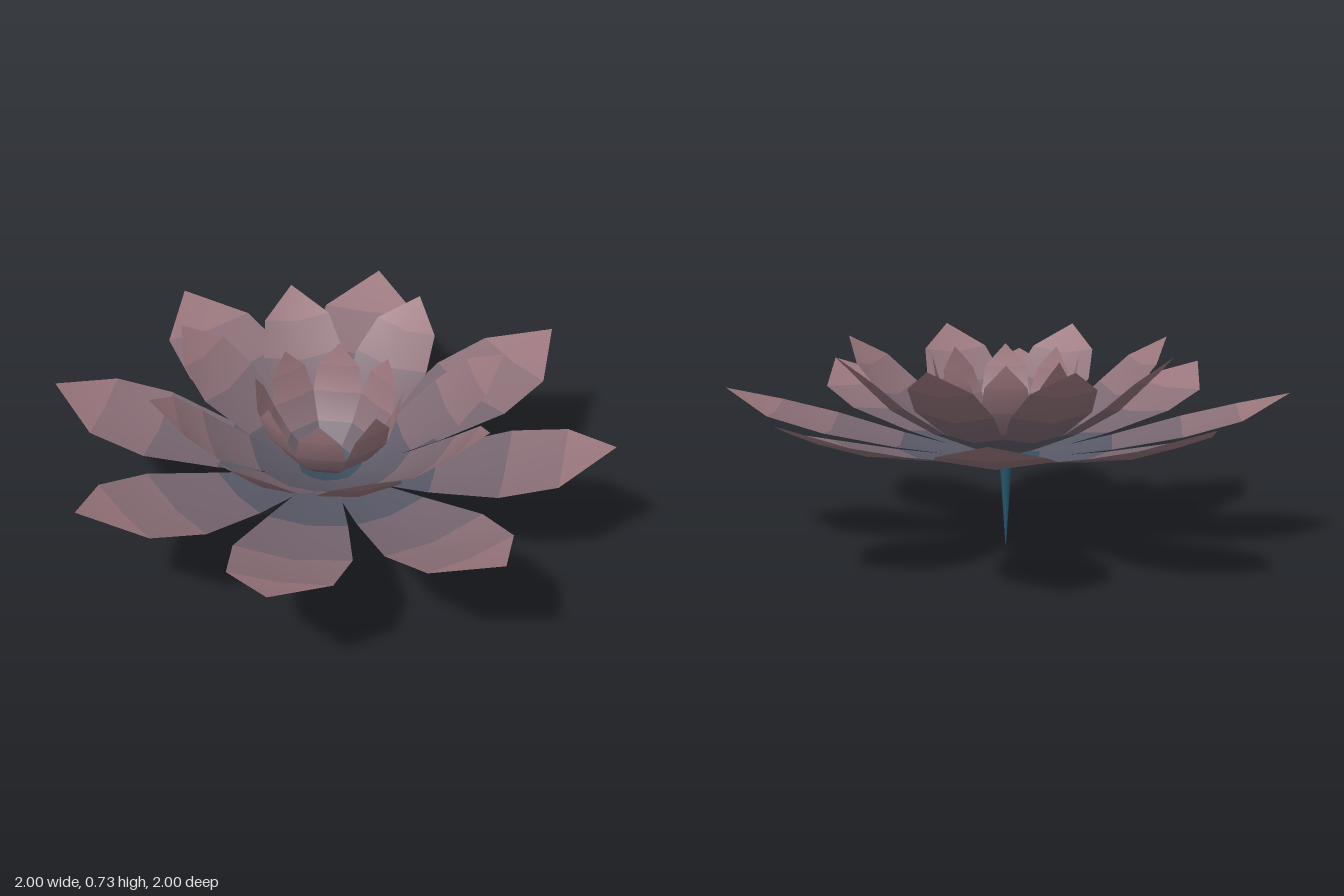
import * as THREE from 'three';

const BASE = new THREE.Color(0x1f4a5c);
const TIP = new THREE.Color(0xa07a80);

// Each ring: turn in degrees, tip [reach, height], and rows from the base outward:
// [reach, height of the midrib, half width, how far the edges curl up]
const RINGS = [
  { name: 'outerPetal', turn: 7.7, tip: [1.008, 0.57], rows: [
    [0.02, 0.335, 0.012, 0], [0.12, 0.333, 0.06, 0.004], [0.38, 0.366, 0.14, 0.02],
    [0.63, 0.416, 0.203, 0.03], [0.83, 0.485, 0.176, 0.014]] },
  { name: 'middlePetal', turn: 28.5, tip: [0.632, 0.73], rows: [
    [0.02, 0.337, 0.01, 0], [0.11, 0.362, 0.05, 0.006], [0.27, 0.428, 0.11, 0.02],
    [0.43, 0.525, 0.148, 0.03], [0.535, 0.63, 0.121, 0.02]] },
  { name: 'innerPetal', turn: 4.4, tip: [0.262, 0.7], rows: [
    [0.02, 0.34, 0.009, 0], [0.08, 0.375, 0.035, -0.002], [0.15, 0.435, 0.065, 0],
    [0.212, 0.522, 0.088, 0.005], [0.245, 0.615, 0.074, 0.005]] },
];

// Smooth petal along +x: three points per row and a single point at the tip
function petalGeometry({ rows, tip }) {
  const points = [];
  for (const [r, y, w, lift] of rows) {
    for (const side of [-1, 0, 1]) points.push(r, y + lift * Math.abs(side), side * w);
  }
  points.push(tip[0], tip[1], 0);

  // One list of triangles per row, so that each band can have its own colour
  const bands = rows.map((_, i) => {
    const faces = [];
    for (let c = 0; c < 2; c++) {
      const a = i * 3 + c, b = a + 1;
      if (i === rows.length - 1) faces.push(a, b, rows.length * 3);
      else faces.push(a, b, a + 3, b, b + 3, a + 3);
    }
    return faces;
  });

  const geometry = new THREE.BufferGeometry();
  geometry.setAttribute('position', new THREE.Float32BufferAttribute(points, 3));
  geometry.setIndex(bands.flat());
  geometry.computeVertexNormals();
  return bands.map((faces) => geometry.clone().setIndex(faces));
}

export function createModel() {
  const model = new THREE.Group();
  model.name = 'waterFlower';

  // Three rings of eight petals, fading from the dark base to the pale tip
  for (const ring of RINGS) {
    const bands = petalGeometry(ring);
    const ends = [...ring.rows.map((row) => row[0]), ring.tip[0]];
    const materials = bands.map((_, i) => new THREE.MeshStandardMaterial({
      color: BASE.clone().lerp(TIP, (ends[i] + ends[i + 1]) / 2 / ring.tip[0]),
      side: THREE.DoubleSide,
    }));
    for (let k = 0; k < 8; k++) {
      const petal = new THREE.Group();
      petal.name = ring.name;
      bands.forEach((geometry, i) => {
        const band = new THREE.Mesh(geometry, materials[i]);
        band.name = ring.name + 'Band';
        petal.add(band);
      });
      petal.rotation.y = -THREE.MathUtils.degToRad(ring.turn + k * 45);
      model.add(petal);
    }
  }

  // Stem tapering to a point below the flower, open at the top
  const stem = new THREE.Mesh(
    new THREE.CylinderGeometry(0.024, 0.001, 0.335, 8, 1, true),
    new THREE.MeshStandardMaterial({ color: 0x24566a, side: THREE.DoubleSide }),
  );
  stem.name = 'stem';
  stem.position.y = 0.1675;
  model.add(stem);

  return model;
}
